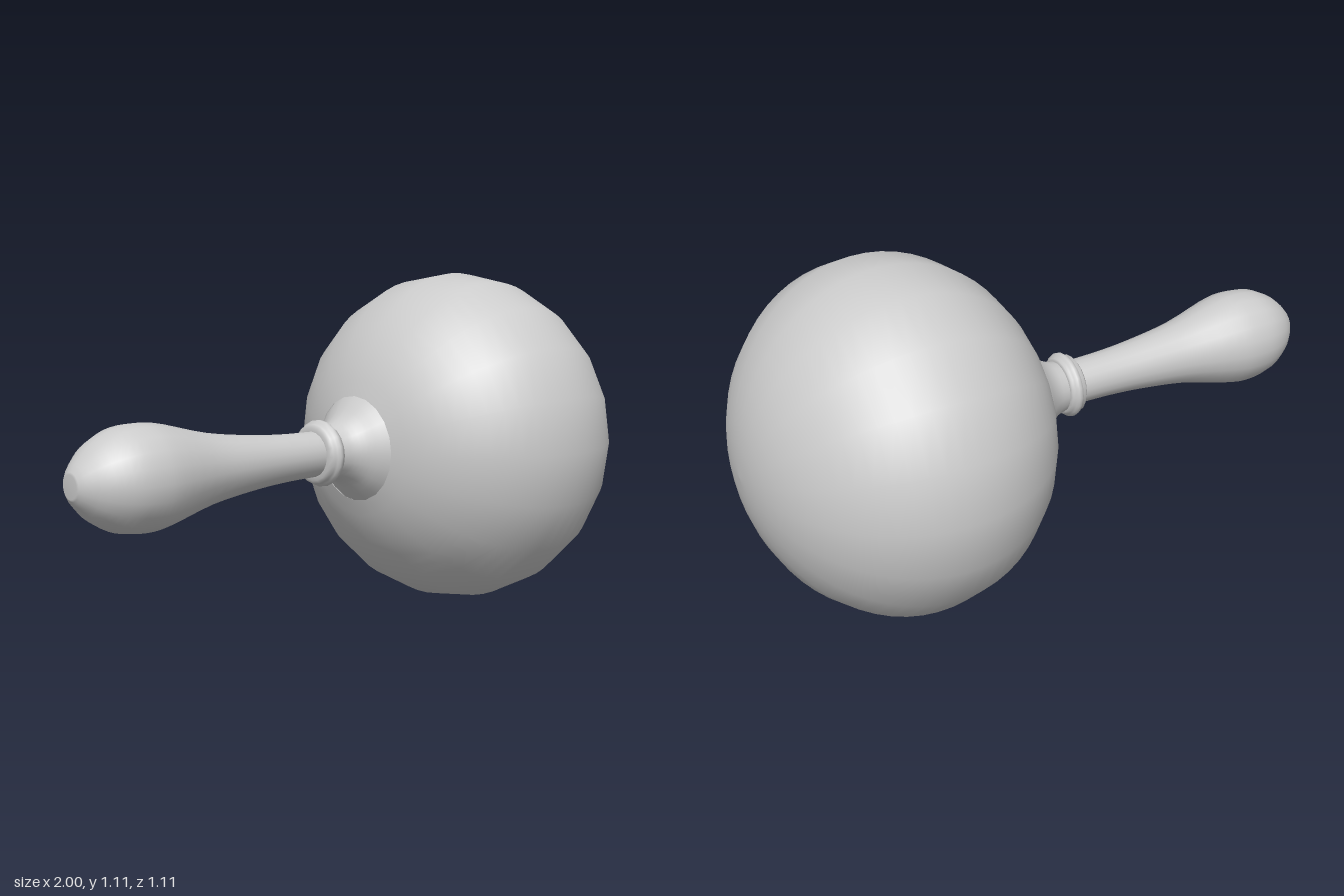
import * as THREE from 'three';

const SIDES = 20;
const AXIS_Y = 0.557;

// Turned part along the x axis; profile is a list of [x, radius]
function turned(name, profile) {
  const points = profile.map(([x, r]) => new THREE.Vector2(r, x));
  const geometry = new THREE.LatheGeometry(points, SIDES);
  geometry.rotateZ(-Math.PI / 2);
  const material = new THREE.MeshStandardMaterial({ color: 0xcccccc, side: THREE.DoubleSide });
  const mesh = new THREE.Mesh(geometry, material);
  mesh.name = name;
  mesh.position.y = AXIS_Y;
  return mesh;
}

// Smooth profile through a few control points
function smooth(profile, steps) {
  const curve = new THREE.SplineCurve(profile.map(([x, r]) => new THREE.Vector2(x, r)));
  return curve.getPoints(steps).map((p) => [p.x, Math.max(0, p.y)]);
}

export function createModel() {
  const group = new THREE.Group();
  group.name = 'maraca';

  // Handle with a swollen, rounded grip end
  group.add(turned('handle', [
    [-1, 0],
    ...smooth([
      [-1, 0.035], [-0.98, 0.065], [-0.93, 0.113], [-0.86, 0.148], [-0.78, 0.158],
      [-0.7, 0.148], [-0.54, 0.107], [-0.38, 0.085], [-0.25, 0.075], [-0.12, 0.072],
    ], 30),
  ]));

  // Ringed collar: a broad middle bead between two narrower ones
  group.add(turned('collar', [
    [-0.13, 0.068], [-0.13, 0.085], [-0.122, 0.095], [-0.112, 0.095],
    [-0.108, 0.101], [-0.1, 0.106], [-0.092, 0.106], [-0.084, 0.101],
    [-0.08, 0.095], [-0.073, 0.093], [-0.07, 0.085], [-0.07, 0.068],
  ]));

  // Flared neck running into the shell
  group.add(turned('neck', smooth([
    [-0.075, 0.082], [-0.035, 0.092], [0, 0.115], [0.03, 0.145], [0.06, 0.173],
  ], 10)));

  // Hollow ellipsoid shell, open where the neck enters
  const shell = [];
  const start = Math.asin(0.17 / 0.555);
  const rings = 28;
  for (let i = 0; i <= rings; i++) {
    const a = start + (Math.PI - start) * (i / rings);
    shell.push([0.515 - 0.485 * Math.cos(a), i === rings ? 0 : 0.556 * Math.sin(a)]);
  }
  group.add(turned('shell', shell));

  return group;
}
